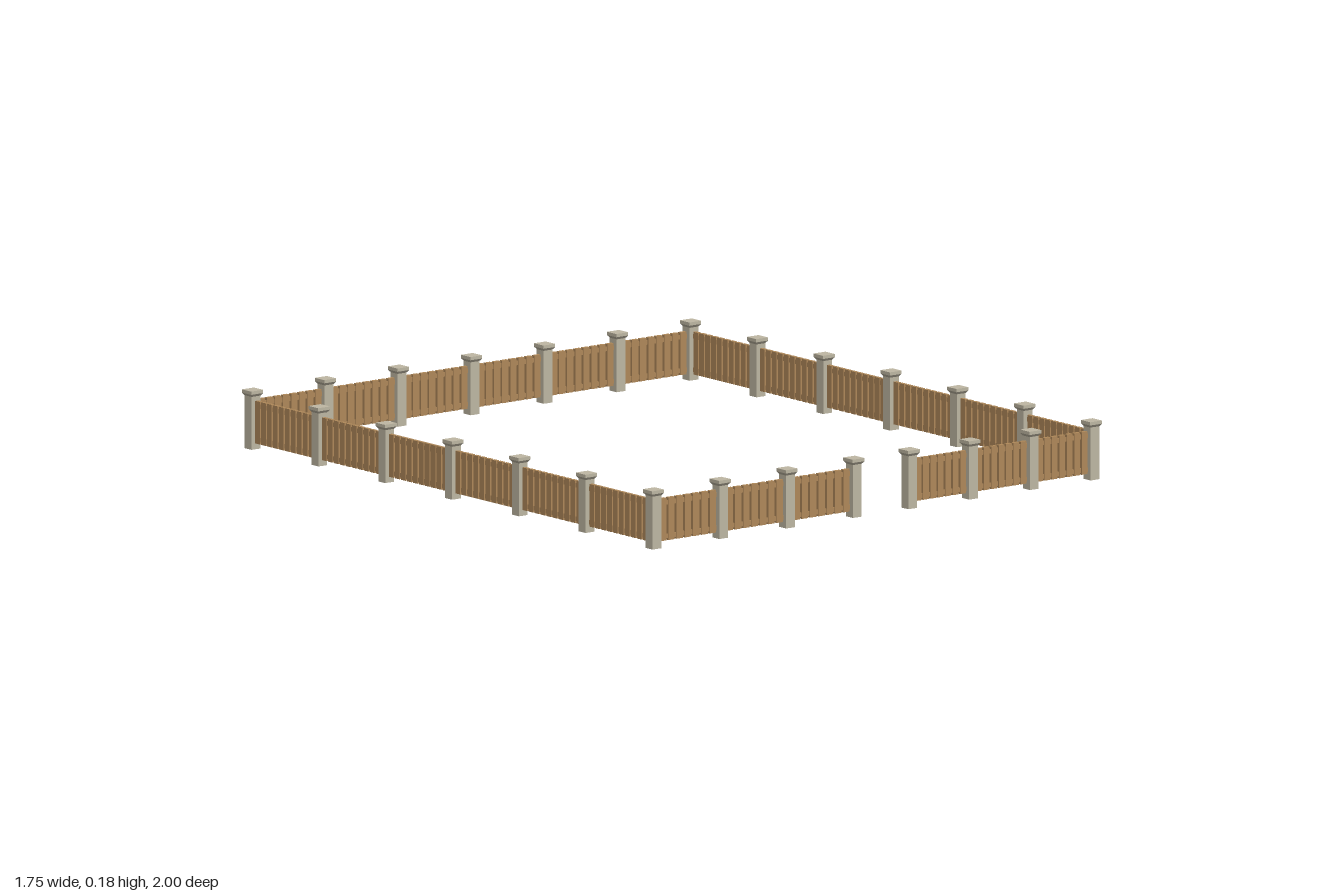
import * as THREE from 'three';

const stone = new THREE.MeshStandardMaterial({ color: 0xbfb8a4 });
stone.name = 'pale stone';
const wood = new THREE.MeshStandardMaterial({ color: 0xb0895a });
wood.name = 'warm wood';

const HALF_X = 0.85, HALF_Z = 0.977;
const POST_W = 0.034, CAP_W = 0.046, POST_H = 0.182;

function box(name, w, h, d, material, x, y, z) {
  const mesh = new THREE.Mesh(new THREE.BoxGeometry(w, h, d), material);
  mesh.name = name;
  mesh.position.set(x, y, z);
  return mesh;
}

// Square post with a flared neck and a flat cap
function makePost(x, z) {
  const post = new THREE.Group();
  post.name = 'post';
  post.add(box('postShaft', POST_W, 0.168, POST_W, stone, 0, 0.084, 0));
  const flare = new THREE.CylinderGeometry(CAP_W * Math.SQRT1_2, POST_W * Math.SQRT1_2, 0.008, 4, 1, true)
    .rotateY(Math.PI / 4).toNonIndexed();
  flare.computeVertexNormals();
  const neck = new THREE.Mesh(flare, stone);
  neck.name = 'postNeck';
  neck.position.y = 0.168;
  post.add(neck);
  post.add(box('postCap', CAP_W, POST_H - 0.172, CAP_W, stone, 0, (POST_H + 0.172) / 2, 0));
  post.position.set(x, 0, z);
  return post;
}

// Two rails with evenly spaced pickets, built along x
function makePanel(length) {
  const panel = new THREE.Group();
  panel.name = 'fencePanel';
  const clear = length - POST_W;
  for (const y of [0.032, 0.136]) {
    panel.add(box('rail', clear + 0.004, 0.014, 0.007, wood, 0, y, 0));
  }
  const count = Math.round(clear / 0.0305);
  const step = clear / count;
  for (let i = 0; i < count; i++) {
    const x = -clear / 2 + (i + 0.5) * step;
    panel.add(box('picket', step * 0.76, 0.132, 0.012, wood, x, 0.085, 0));
  }
  return panel;
}

// Panels between evenly spaced posts, from (x0, z0) to (x1, z1)
function makeRun(name, x0, z0, x1, z1, count) {
  const run = new THREE.Group();
  run.name = name;
  const length = Math.hypot(x1 - x0, z1 - z0) / count;
  const angle = Math.atan2(-(z1 - z0), x1 - x0);
  for (let i = 0; i < count; i++) {
    const t = (i + 0.5) / count;
    const panel = makePanel(length);
    panel.position.set(x0 + (x1 - x0) * t, 0, z0 + (z1 - z0) * t);
    panel.rotation.y = angle;
    run.add(panel);
    // The last post belongs to the next run
    run.add(makePost(x0 + (x1 - x0) * i / count, z0 + (z1 - z0) * i / count));
  }
  return run;
}

export function createModel() {
  const model = new THREE.Group();
  model.name = 'fenceEnclosure';
  // Clockwise around the yard, leaving an opening in the front
  model.add(makeRun('frontLeftFence', 0.143, HALF_Z, HALF_X, HALF_Z, 3));
  model.add(makeRun('leftFence', HALF_X, HALF_Z, HALF_X, -HALF_Z, 6));
  model.add(makeRun('backFence', HALF_X, -HALF_Z, -HALF_X, -HALF_Z, 6));
  model.add(makeRun('rightFence', -HALF_X, -HALF_Z, -HALF_X, HALF_Z, 6));
  model.add(makeRun('frontRightFence', -HALF_X, HALF_Z, -0.072, HALF_Z, 3));
  model.add(makePost(-0.072, HALF_Z));
  return model;
}
